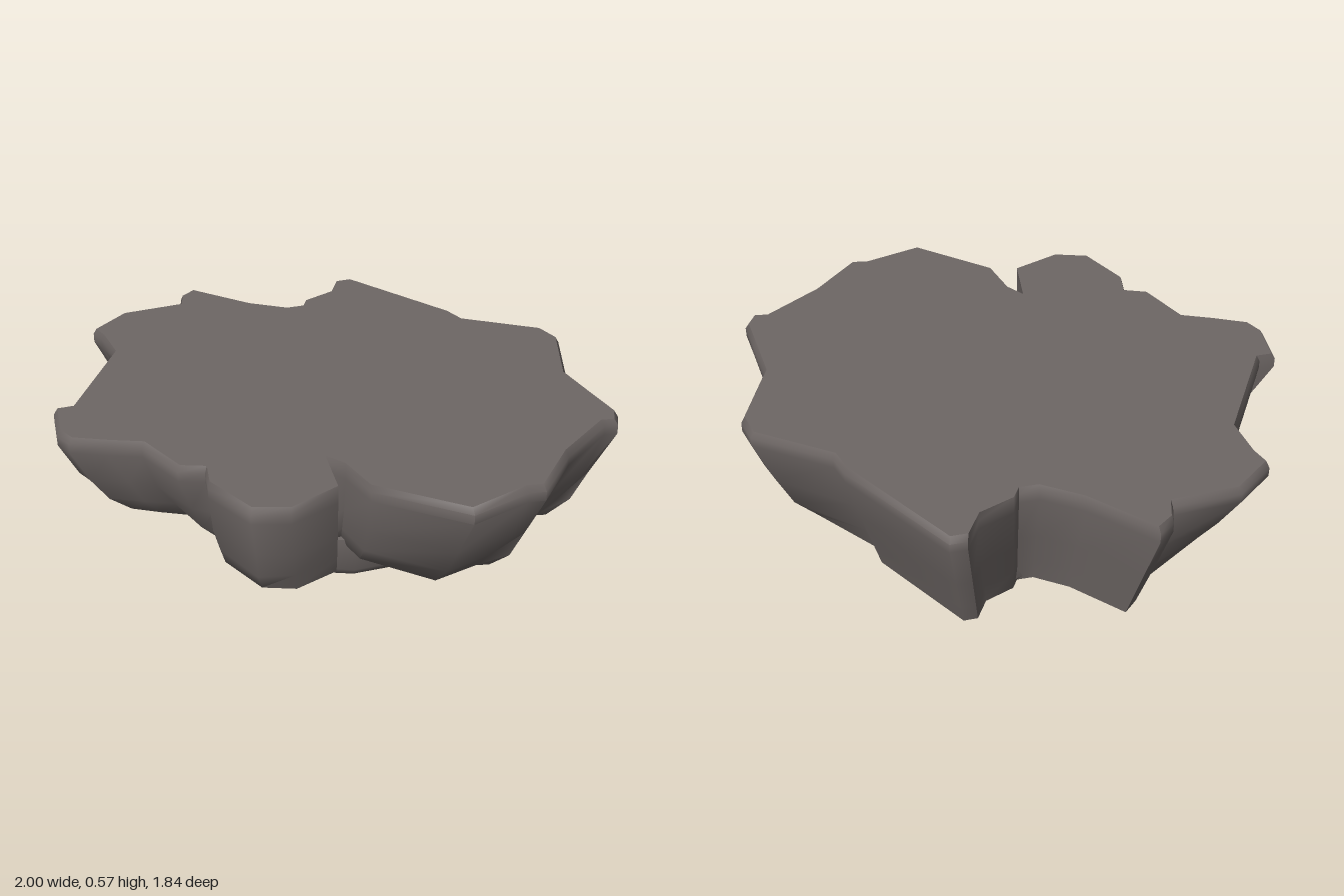
import * as THREE from 'three';
import { toCreasedNormals } from 'three/addons/utils/BufferGeometryUtils.js';

// Joins rings of [x, y, z] points (top ring first, clockwise from above) into a closed stone
function stone(rings, floorCentre, crease) {
  const pos = [];
  const n = rings[0].length;
  const tri = (a, b, c) => pos.push(...a, ...b, ...c);
  // flat top
  const top = rings[0];
  const flat = top.map(p => new THREE.Vector2(p[0], p[2]));
  for (const [a, b, c] of THREE.ShapeUtils.triangulateShape(flat, [])) {
    const up = THREE.ShapeUtils.area([flat[a], flat[b], flat[c]]) < 0;
    if (up) tri(top[a], top[b], top[c]);
    else tri(top[a], top[c], top[b]);
  }
  // sides
  for (let r = 0; r < rings.length - 1; r++) {
    for (let i = 0; i < n; i++) {
      const j = (i + 1) % n;
      const u = rings[r], l = rings[r + 1];
      tri(u[i], u[j], l[j]);
      tri(u[i], l[j], l[i]);
    }
  }
  // underside
  const low = rings[rings.length - 1];
  for (let i = 0; i < n; i++) tri(low[i], low[(i + 1) % n], floorCentre);
  const geo = new THREE.BufferGeometry();
  geo.setAttribute('position', new THREE.Float32BufferAttribute(pos, 3));
  return toCreasedNormals(geo, crease);
}

export function createModel() {
  const group = new THREE.Group();
  group.name = 'rockPlatform';
  const rock = new THREE.MeshStandardMaterial({ color: 0x6e6765 });
  rock.name = 'warm grey rock';

  // Plan of the broken rim as [x, z]
  const outline = [
    [-0.42, -0.92], [-0.2, -0.75], [-0.05, -0.68], [0.02, -0.69], [0.04, -0.74], [0.16, -0.81],
    [0.2, -0.91], [0.26, -0.92], [0.6, -0.54], [0.64, -0.46], [0.93, -0.32], [0.97, -0.23],
    [0.91, 0.06], [0.96, 0.24], [1.0, 0.38], [0.98, 0.44], [0.93, 0.44], [0.74, 0.62],
    [0.6, 0.82], [0.54, 0.82], [0.33, 0.92], [0.03, 0.73], [-0.03, 0.58], [-0.09, 0.52],
    [-0.08, 0.72], [-0.25, 0.82], [-0.38, 0.8], [-0.5, 0.62], [-0.5, 0.52], [-0.59, 0.5],
    [-0.7, 0.32], [-0.82, 0.29], [-0.95, 0.25], [-0.99, 0.19], [-1.0, 0.03], [-0.94, 0.02],
    [-0.77, -0.4], [-0.81, -0.55], [-0.84, -0.61], [-0.72, -0.74], [-0.48, -0.79], [-0.47, -0.87]
  ];
  // How far each ring has moved down (0 rim, 1 underside) and its scale in plan
  const steps = [[0, 1], [0.45, 0.93], [0.78, 0.86], [1, 0.79]];
  const { clamp, lerp } = THREE.MathUtils;

  const slabRings = [outline.map(([x, z]) => [x * 0.985, 0.57, z * 0.985])];
  slabRings.push(outline.map(([x, z]) => [x, 0.545, z]));
  for (const [t, scale] of steps) {
    slabRings.push(outline.map(([x, z], i) => {
      // the back drops deeper in a straight slope, the front right lobe stays upright,
      // and the straight right edge leans in towards the foot
      const back = clamp((-z - 0.3) / 0.2, 0, 1) * clamp((x + 0.75) / 0.3, 0, 1) * clamp((1.1 - x) / 0.4, 0, 1);
      const lobe = z > 0.5 && x < -0.05 && x > -0.52;
      const tuck = x < -0.75 && z < 0.025;
      const low = tuck ? 0.19 : lerp(0.175 - 0.05 * x, 0.05, back);
      const hold = tuck ? 1.6 : lobe ? 0.5 : 1;
      const wobble = t > 0 && t < 1 ? 0.012 * (1 - back) * Math.sin(i * 2.3 + t * 5) : 0;
      const s = lerp(1 - (1 - scale) * hold, 1 - 0.165 * t, back) + wobble;
      return [x * s, lerp(0.51, low, t), z * s];
    }));
  }
  const slab = new THREE.Mesh(stone(slabRings, [0, 0.08, 0], 1.0), rock);
  slab.name = 'slab';
  group.add(slab);

  // Narrower foot under the slab: plan [x, z] and floor height
  const foot = [
    [-0.32, -0.66, 0.06], [-0.03, -0.56, 0.04], [0.2, -0.72, 0.05], [0.32, -0.61, 0],
    [0.5, -0.4, 0.03], [0.54, 0.1, 0.02], [0.4, 0.42, 0.02], [0.02, 0.5, 0.04],
    [-0.35, 0.42, 0.05], [-0.47, 0.1, 0.08], [-0.47, -0.25, 0.08]
  ];
  const footRings = [
    foot.map(([x, z]) => [x, 0.2, z]),
    foot.map(([x, z, y]) => [x, y + 0.03, z]),
    foot.map(([x, z, y]) => [x * 0.96, y, z * 0.96])
  ];
  const base = new THREE.Mesh(stone(footRings, [0.1, 0.025, -0.1], 1.0), rock);
  base.name = 'foot';
  group.add(base);

  return group;
}
